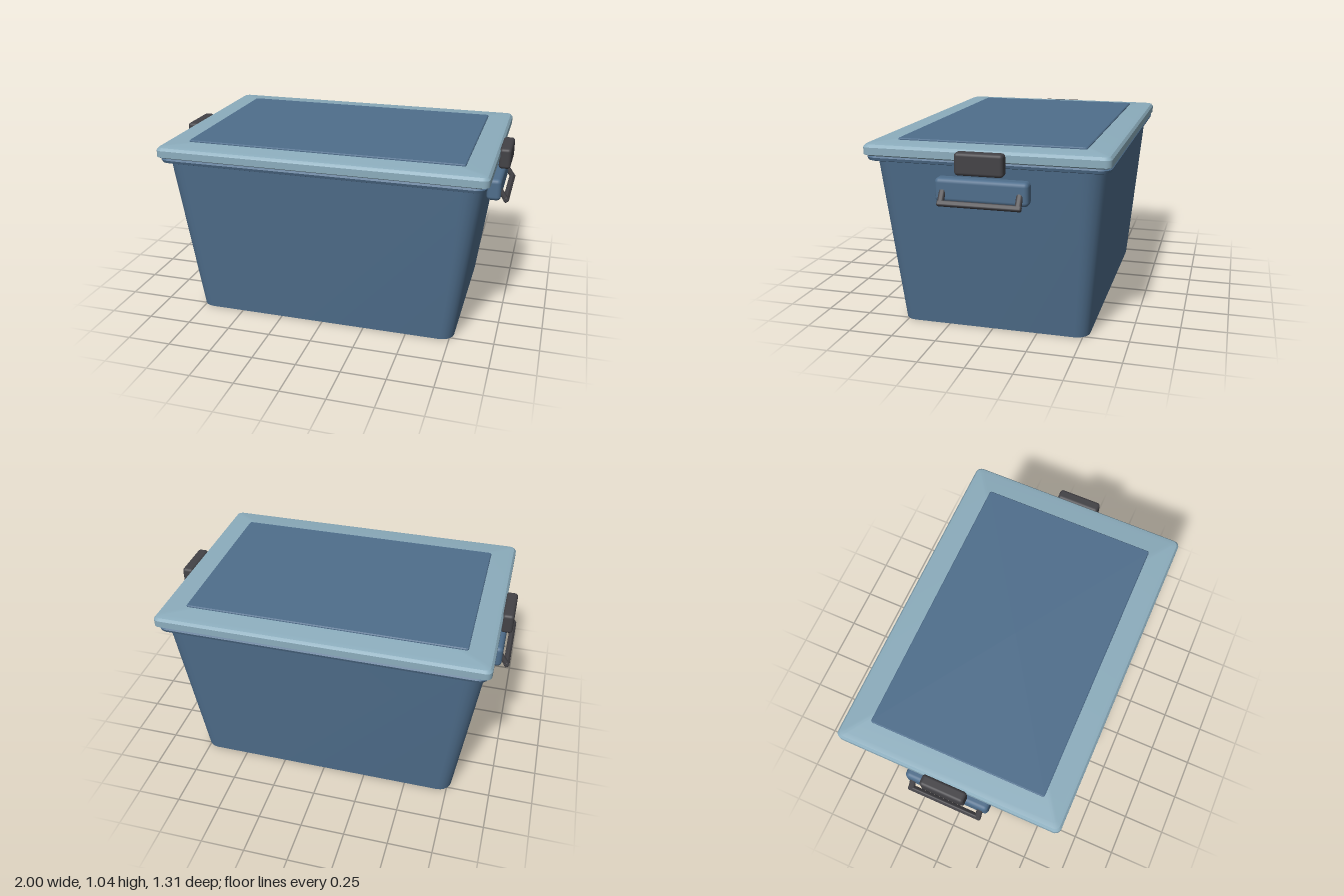
import * as THREE from 'three';
import { toCreasedNormals } from 'three/addons/utils/BufferGeometryUtils.js';
import { RoundedBoxGeometry } from 'three/addons/geometries/RoundedBoxGeometry.js';

const material = (name, color) => {
  const m = new THREE.MeshStandardMaterial({ color });
  m.name = name;
  return m;
};

// Closed solid through rounded-rectangle rings: [half width, half depth, y, corner radius]
function loft(rings, steps = 5) {
  const positions = [], index = [];
  const n = 4 * (steps + 1);
  for (const [hx, hz, y, r] of rings) {
    for (let corner = 0; corner < 4; corner++) {
      const sx = corner === 0 || corner === 3 ? 1 : -1;
      const sz = corner < 2 ? 1 : -1;
      for (let s = 0; s <= steps; s++) {
        const a = (corner + s / steps) * Math.PI / 2;
        positions.push(sx * (hx - r) + r * Math.cos(a), y, sz * (hz - r) + r * Math.sin(a));
      }
    }
  }
  for (let j = 0; j < rings.length - 1; j++) {
    for (let i = 0; i < n; i++) {
      const a = j * n + i, b = j * n + (i + 1) % n;
      index.push(a, a + n, b, b, a + n, b + n);
    }
  }
  // End caps
  const low = positions.length / 3, high = low + 1, top = (rings.length - 1) * n;
  positions.push(0, rings[0][2], 0, 0, rings[rings.length - 1][2], 0);
  for (let i = 0; i < n; i++) {
    const k = (i + 1) % n;
    index.push(low, i, k, high, top + k, top + i);
  }
  const g = new THREE.BufferGeometry();
  g.setAttribute('position', new THREE.Float32BufferAttribute(positions, 3));
  g.setIndex(index);
  return toCreasedNormals(g, 0.5);
}

export function createModel() {
  const model = new THREE.Group();
  model.name = 'storageBox';
  const blue = material('bodyBlue', 0x4f6e8c);
  const pale = material('lidBlue', 0x8cadbd);
  const dark = material('darkGrey', 0x434246);

  const add = (parent, name, geometry, mat, x = 0, y = 0, z = 0) => {
    const mesh = new THREE.Mesh(geometry, mat);
    mesh.name = name;
    mesh.position.set(x, y, z);
    parent.add(mesh);
    return mesh;
  };

  // Tapered tub
  add(model, 'tub', loft([[0.77, 0.53, 0, 0.075], [0.895, 0.615, 0.945, 0.11]]), blue);

  // Rolled rim below the lid
  add(model, 'rim', loft([
    [0.895, 0.63, 0.936, 0.05], [0.912, 0.645, 0.942, 0.06],
    [0.916, 0.65, 0.957, 0.06], [0.905, 0.638, 0.97, 0.05],
  ]), blue);

  // Lid with chamfered edges
  add(model, 'lid', loft([
    [0.908, 0.638, 0.964, 0.03], [0.928, 0.655, 0.974, 0.035], [0.928, 0.655, 1.012, 0.035],
    [0.916, 0.644, 1.027, 0.03], [0.89, 0.618, 1.033, 0.02],
  ]), pale);

  // Raised panel on the lid
  add(model, 'lidPanel', loft([
    [0.787, 0.51, 1.025, 0.012], [0.787, 0.51, 1.038, 0.012], [0.782, 0.505, 1.043, 0.01],
  ]), blue);

  // Latch and swing handle at each end
  for (const side of [1, -1]) {
    const end = new THREE.Group();
    end.name = side > 0 ? 'leftEnd' : 'rightEnd';
    if (side < 0) end.rotation.y = Math.PI;
    model.add(end);

    add(end, 'latch', new RoundedBoxGeometry(0.066, 0.118, 0.256, 3, 0.018), dark, 0.954, 0.965, 0);
    add(end, 'handleMount', new RoundedBoxGeometry(0.08, 0.126, 0.496, 3, 0.024), blue, 0.915, 0.818, 0);

    const handle = new THREE.Group();
    handle.name = 'handle';
    handle.position.set(0.983, 0.758, 0);
    handle.rotation.z = 0.6;
    end.add(handle);
    add(handle, 'grip', new RoundedBoxGeometry(0.028, 0.03, 0.444, 2, 0.008), dark);
    for (const z of [0.204, -0.204]) {
      add(handle, 'handleArm', new RoundedBoxGeometry(0.028, 0.11, 0.034, 3, 0.012), dark, 0, 0.04, z);
    }
  }
  return model;
}
